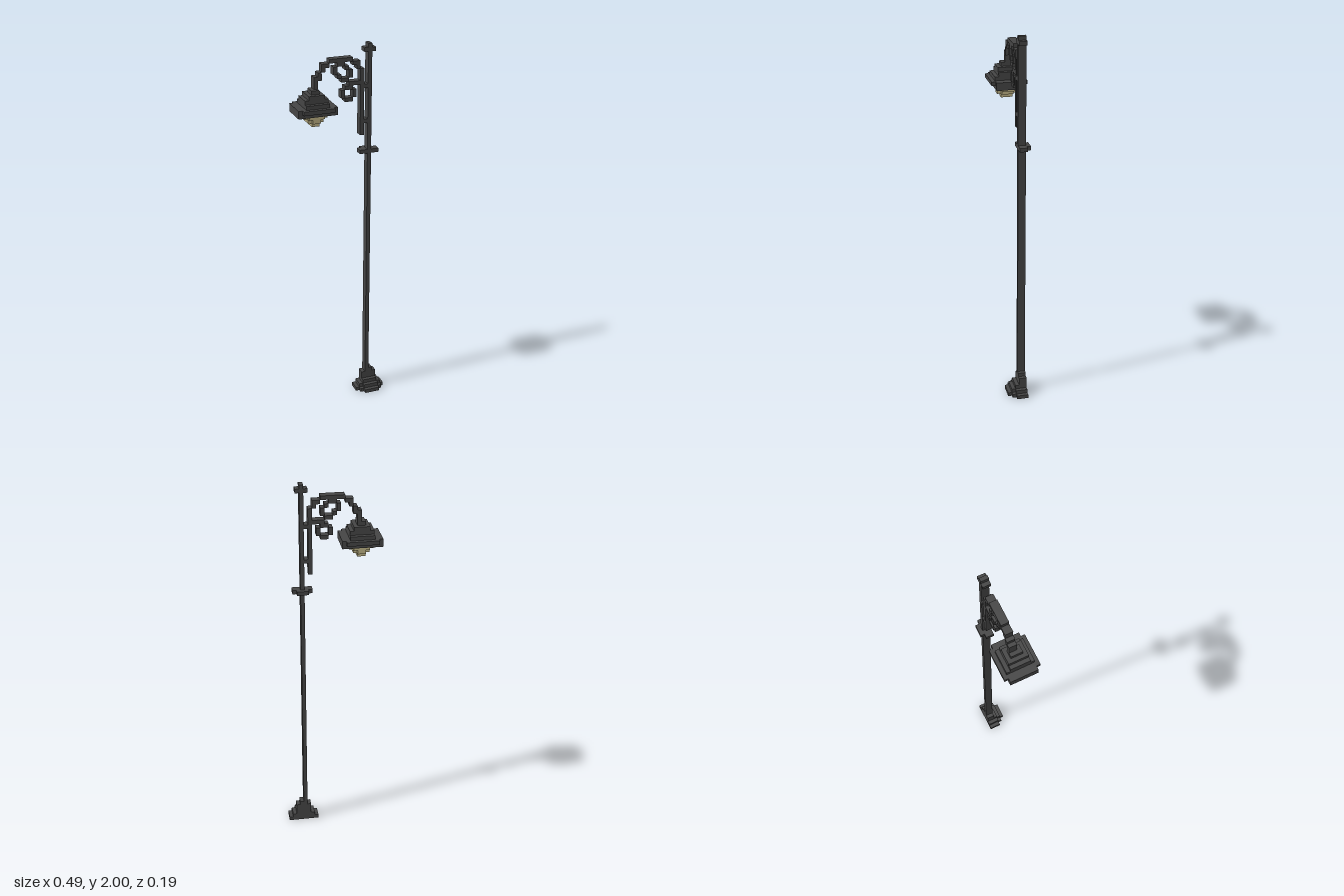
import * as THREE from 'three';
import { mergeGeometries } from 'three/addons/utils/BufferGeometryUtils.js';

// Block grid: 24 columns (x), 97 layers (y), 9 rows (z)
const V = 2 / 97;

// Block filling inclusive columns c0..c1, layers l0..l1 and rows r0..r1
function block([c0, c1, l0, l1, r0 = 3, r1 = 4]) {
  const g = new THREE.BoxGeometry((c1 - c0 + 1) * V, (l1 - l0 + 1) * V, (r1 - r0 + 1) * V);
  g.translate(((c0 + c1 + 1) / 2 - 12) * V, ((l0 + l1 + 1) / 2) * V, ((r0 + r1 + 1) / 2 - 4.5) * V);
  return g;
}

export function createModel() {
  const group = new THREE.Group();
  const iron = new THREE.MeshStandardMaterial({ color: 0x454545 });
  iron.name = 'dark iron';
  const glass = new THREE.MeshStandardMaterial({ color: 0xbdb284 });
  glass.name = 'cream glass';

  function part(name, material, blocks) {
    const mesh = new THREE.Mesh(mergeGeometries(blocks.map(block)), material);
    mesh.name = name;
    group.add(mesh);
  }

  // Stepped foot, flat at the back and spreading forwards
  part('base', iron, [
    [16, 23, 0, 0, 3, 5], [17, 22, 0, 0, 6, 6], [18, 21, 0, 0, 7, 7],
    [17, 22, 1, 1, 3, 5], [18, 21, 1, 1, 6, 6],
    [18, 21, 2, 2, 3, 5],
    [18, 21, 3, 4],
    [19, 20, 5, 5],
  ]);

  part('pole', iron, [[19, 19, 6, 96]]);
  part('collar', iron, [[17, 18, 69, 69], [20, 21, 69, 69], [18, 20, 69, 69, 2, 2]]);
  part('finial', iron, [[18, 18, 95, 95], [20, 20, 95, 95]]);

  // Upright bar beside the pole with two ties
  part('bracket', iron, [[17, 17, 74, 90], [18, 18, 77, 77], [18, 18, 86, 86]]);

  // Arched arm ending in the lamp stem
  part('arm', iron, [
    [16, 16, 91, 91], [15, 16, 92, 92], [9, 14, 93, 93], [7, 8, 92, 92],
    [7, 7, 91, 91], [6, 6, 90, 90], [5, 6, 89, 89], [5, 5, 87, 88],
  ]);

  // Two curled ornaments under the arch
  part('upperScroll', iron, [
    [11, 11, 92, 92], [10, 10, 90, 91], [11, 11, 89, 89], [12, 13, 88, 88],
    [14, 14, 89, 90], [13, 13, 91, 91], [12, 12, 92, 92],
  ]);
  part('lowerScroll', iron, [
    [14, 16, 87, 87], [13, 13, 86, 86], [12, 12, 84, 85], [13, 14, 83, 83],
    [15, 15, 84, 85], [14, 14, 86, 86],
  ]);

  // Stepped shade with a wide brim
  part('shade', iron, [
    [0, 9, 81, 82, 1, 7], [1, 8, 82, 82, 0, 0], [1, 8, 82, 82, 8, 8],
    [2, 7, 83, 83, 1, 7],
    [2, 7, 84, 84, 2, 6],
    [3, 6, 85, 85, 2, 6],
    [4, 5, 86, 86, 3, 5],
  ]);

  // Glass bowl hanging below the shade
  part('bulb', glass, [
    [2, 7, 80, 80, 3, 5], [3, 6, 80, 80, 2, 2], [3, 6, 80, 80, 6, 6],
    [3, 6, 79, 79, 3, 5], [4, 5, 79, 79, 2, 2], [4, 5, 79, 79, 6, 6],
    [4, 5, 78, 78, 3, 5],
  ]);

  return group;
}
